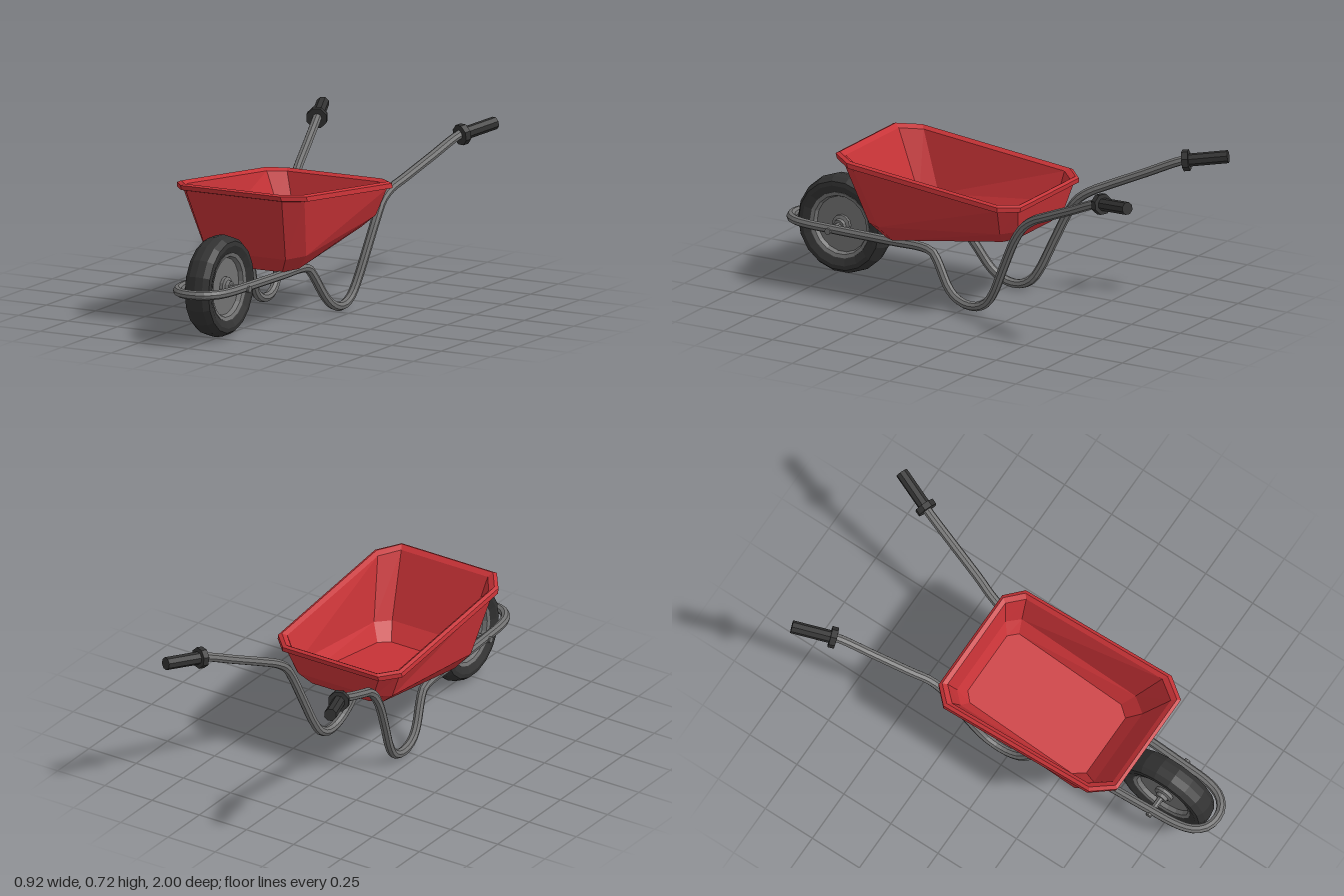
import * as THREE from 'three';

const paint = (name, color, side = THREE.FrontSide) => {
  const m = new THREE.MeshStandardMaterial({ color, flatShading: true, side });
  m.name = name;
  return m;
};

// Octagonal loop: a cut-corner rectangle lying on a plane that slopes along z
function trayRing([hx, zBack, zFront, cx, cz, yFront, slope]) {
  return [
    [hx, zFront - cz], [hx, zBack + cz * 0.75], [hx - cx, zBack], [cx - hx, zBack],
    [-hx, zBack + cz * 0.75], [-hx, zFront - cz], [cx - hx, zFront], [hx - cx, zFront],
  ].map(([x, z]) => [x, yFront + slope * (zFront - z), z]);
}

// Skin the loops from the underside, over the rim and down to the floor
function trayGeometry(sections) {
  const rings = sections.map(trayRing);
  const n = rings[0].length, last = rings.length - 1;
  const index = [];
  for (let r = 0; r < last; r++) {
    for (let i = 0; i < n; i++) {
      const j = (i + 1) % n;
      const a = r * n + i, b = r * n + j, c = b + n, d = a + n;
      index.push(a, b, c, a, c, d);
    }
  }
  for (let i = 1; i < n - 1; i++) {
    index.push(0, i + 1, i, last * n, last * n + i, last * n + i + 1);
  }
  const g = new THREE.BufferGeometry();
  g.setAttribute('position', new THREE.Float32BufferAttribute(rings.flat(2), 3));
  g.setIndex(index);
  g.computeVertexNormals();
  return g;
}

// Turned part whose axis runs along x; profile points are [radius, offset]
function turned(profile, sides) {
  const g = new THREE.LatheGeometry(profile.map(([r, h]) => new THREE.Vector2(r, h)), sides);
  return g.rotateZ(-Math.PI / 2);
}

// Cylinder between two points
function rod(a, b, radius, sides, material, name) {
  const dir = b.clone().sub(a);
  const mesh = new THREE.Mesh(new THREE.CylinderGeometry(radius, radius, dir.length(), sides), material);
  mesh.position.copy(a).add(b).multiplyScalar(0.5);
  mesh.quaternion.setFromUnitVectors(new THREE.Vector3(0, 1, 0), dir.normalize());
  mesh.name = name;
  return mesh;
}

export function createModel() {
  const red = paint('tray red', 0xc63236);
  const steel = paint('steel grey', 0x727272);
  const rubber = paint('black rubber', 0x323232);
  const model = new THREE.Group();
  model.name = 'wheelbarrow';
  const add = (geometry, material, name, parent = model) => {
    const mesh = new THREE.Mesh(geometry, material);
    mesh.name = name;
    parent.add(mesh);
    return mesh;
  };

  // Tray: half width, back z, front z, corner cut x and z, front height, slope
  add(trayGeometry([
    [0.20, -0.25, 0.42, 0.05, 0.06, 0.253, 0.153],
    [0.26, -0.288, 0.48, 0.06, 0.08, 0.325, 0.11],
    [0.308, -0.31, 0.59, 0.065, 0.09, 0.612, -0.105],
    [0.33, -0.328, 0.612, 0.075, 0.1, 0.618, -0.105],
    [0.327, -0.33, 0.62, 0.075, 0.1, 0.64, -0.105],
    [0.312, -0.318, 0.605, 0.07, 0.095, 0.646, -0.105],
    [0.294, -0.298, 0.582, 0.065, 0.09, 0.63, -0.105],
    [0.243, -0.272, 0.455, 0.05, 0.07, 0.345, 0.11],
    [0.195, -0.24, 0.39, 0.04, 0.05, 0.277, 0.153],
  ]), red, 'tray');

  // Frame: one bent tube from handle to handle around the wheel
  const half = [
    [0.385, 0.682, -0.86], [0.36, 0.67, -0.8], [0.312, 0.596, -0.63], [0.265, 0.522, -0.46],
    [0.244, 0.492, -0.395], [0.233, 0.448, -0.335], [0.23, 0.38, -0.288],
    [0.216, 0.24, -0.222], [0.2, 0.105, -0.16], [0.194, 0.05, -0.12], [0.191, 0.024, -0.07],
    [0.19, 0.024, -0.01], [0.186, 0.05, 0.05], [0.178, 0.09, 0.09],
    [0.159, 0.185, 0.15], [0.152, 0.224, 0.182], [0.15, 0.238, 0.23],
    [0.143, 0.238, 0.4], [0.13, 0.238, 0.7], [0.118, 0.238, 0.86],
    [0.096, 0.238, 0.925], [0.055, 0.238, 0.966],
  ];
  const mirrored = half.map(([x, y, z]) => [-x, y, z]).reverse();
  const path = [...half, [0, 0.238, 0.979], ...mirrored].map((p) => new THREE.Vector3(...p));
  const curve = new THREE.CatmullRomCurve3(path, false, 'centripetal');
  add(new THREE.TubeGeometry(curve, 150, 0.021, 8), steel, 'frame');

  // Handle grips with guards
  for (const s of [1, -1]) {
    const start = new THREE.Vector3(0.362 * s, 0.668, -0.8);
    const end = new THREE.Vector3(0.436 * s, 0.697, -0.988);
    const guardEnd = start.clone().lerp(end, 0.14);
    const name = s > 0 ? 'left' : 'right';
    model.add(rod(start, end, 0.029, 8, rubber, name + 'Grip'));
    model.add(rod(start, guardEnd, 0.048, 8, rubber, name + 'GripGuard'));
  }

  // Wheel: tyre, dished rim, hub and axle
  const wheel = new THREE.Group();
  wheel.name = 'wheel';
  wheel.position.set(0, 0.232, 0.72);
  model.add(wheel);
  add(turned([
    [0.14, -0.035], [0.155, -0.05], [0.185, -0.0625], [0.205, -0.06], [0.222, -0.035], [0.228, 0],
    [0.222, 0.035], [0.205, 0.06], [0.185, 0.0625], [0.155, 0.05], [0.14, 0.035], [0.14, -0.035],
  ], 18), rubber, 'tyre', wheel);
  add(turned([
    [0, -0.026], [0.128, -0.026], [0.136, -0.045], [0.152, -0.05],
    [0.152, 0.05], [0.136, 0.045], [0.128, 0.026], [0, 0.026],
  ], 18), steel, 'rim', wheel);
  add(turned([
    [0, -0.06], [0.026, -0.06], [0.03, -0.045], [0.045, -0.04],
    [0.045, 0.04], [0.03, 0.045], [0.026, 0.06], [0, 0.06],
  ], 12), steel, 'hub', wheel);
  add(turned([[0, -0.157], [0.015, -0.157], [0.015, 0.157], [0, 0.157]], 8), steel, 'axle', wheel);

  return model;
}
